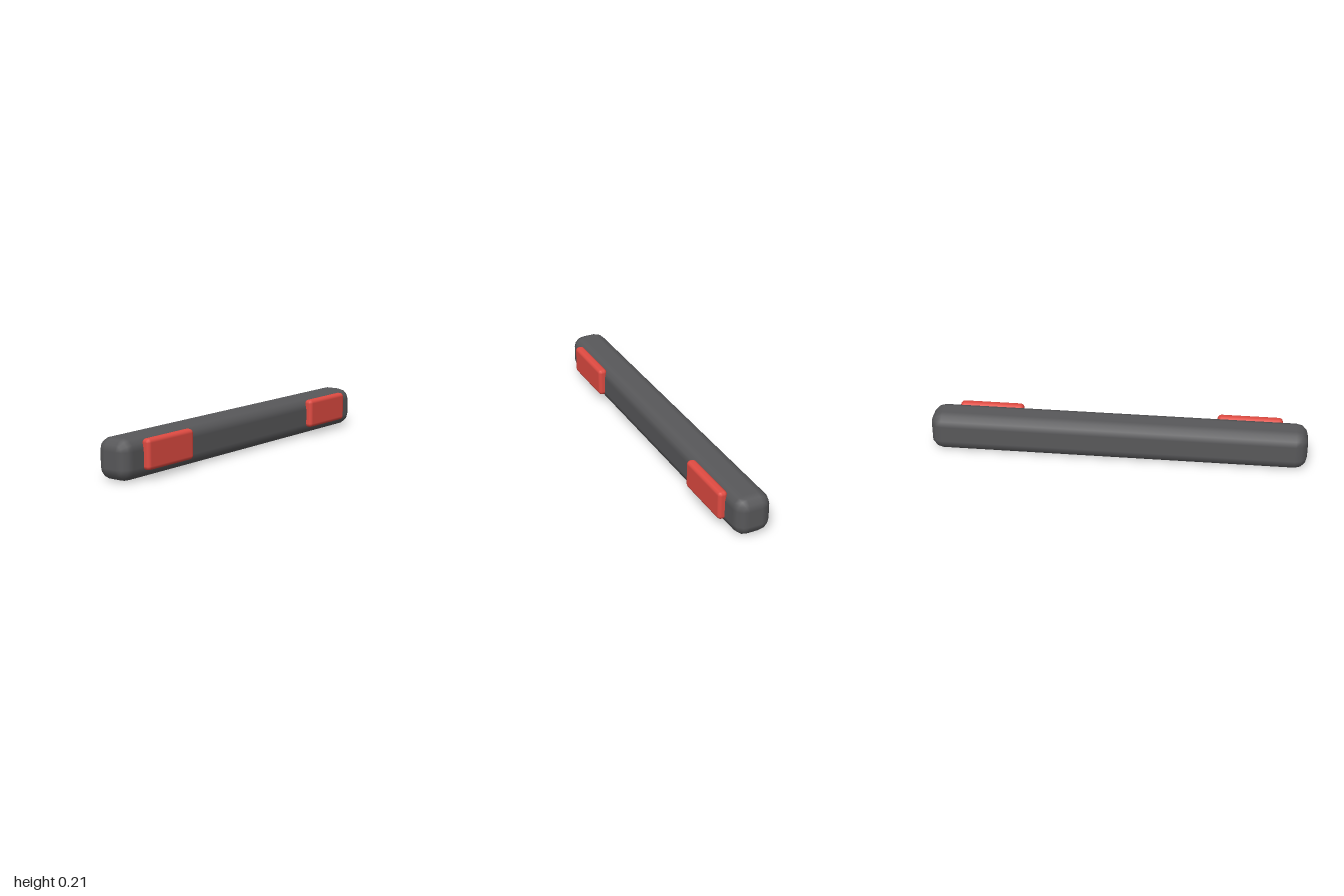
import * as THREE from 'three';

// Box with rounded edges, three steps per quarter turn, built as rings along x
function roundedBar(w, h, d, r, steps = 3) {
  const cx = w / 2 - r, cy = h / 2 - r, cz = d / 2 - r;
  const pos = [], norm = [], index = [];
  const quarter = Math.PI / 2;
  const signs = [[1, 1], [-1, 1], [-1, -1], [1, -1]];
  const cols = 4 * (steps + 1) + 1;

  function ring(side, v, spread) {
    for (let j = 0; j < cols; j++) {
      const q = Math.floor(j / (steps + 1)) % 4;
      const u = (q + (j % (steps + 1)) / steps) * quarter;
      const n = [Math.sin(v), Math.cos(v) * Math.cos(u), Math.cos(v) * Math.sin(u)];
      norm.push(...n);
      pos.push(
        side * cx + r * n[0],
        spread * (signs[q][0] * cy + r * n[1]),
        spread * (signs[q][1] * cz + r * n[2])
      );
    }
  }

  ring(-1, -quarter, 0);
  for (const side of [-1, 1]) {
    for (let i = 0; i <= steps; i++) {
      const t = side < 0 ? i / steps - 1 : i / steps;
      ring(side, t * quarter, 1);
    }
  }
  ring(1, quarter, 0);

  const rows = 2 * (steps + 1) + 2;
  for (let i = 0; i < rows - 1; i++) {
    for (let j = 0; j < cols - 1; j++) {
      const a = i * cols + j, b = a + cols;
      if (i > 0) index.push(a, a + 1, b);
      if (i < rows - 2) index.push(a + 1, b + 1, b);
    }
  }
  const geo = new THREE.BufferGeometry();
  geo.setAttribute('position', new THREE.Float32BufferAttribute(pos, 3));
  geo.setAttribute('normal', new THREE.Float32BufferAttribute(norm, 3));
  geo.setIndex(index);
  return geo;
}

export function createModel() {
  const model = new THREE.Group();
  model.name = 'bumper';

  const darkGrey = new THREE.MeshStandardMaterial({ color: 0x58585a });
  darkGrey.name = 'darkGrey';
  const red = new THREE.MeshStandardMaterial({ color: 0xe04b42 });
  red.name = 'red';

  // Main bar
  const bar = new THREE.Mesh(roundedBar(2, 0.209, 0.192, 0.062), darkGrey);
  bar.name = 'bar';
  bar.position.set(0, 0.1045, -0.0165);
  model.add(bar);

  // Pair of red lamps on the front face
  const lampGeometry = roundedBar(0.346, 0.155, 0.051, 0.02);
  for (const side of [-1, 1]) {
    const lamp = new THREE.Mesh(lampGeometry, red);
    lamp.name = side > 0 ? 'leftLamp' : 'rightLamp';
    lamp.position.set(side * 0.694, 0.123, 0.087);
    model.add(lamp);
  }
  return model;
}
